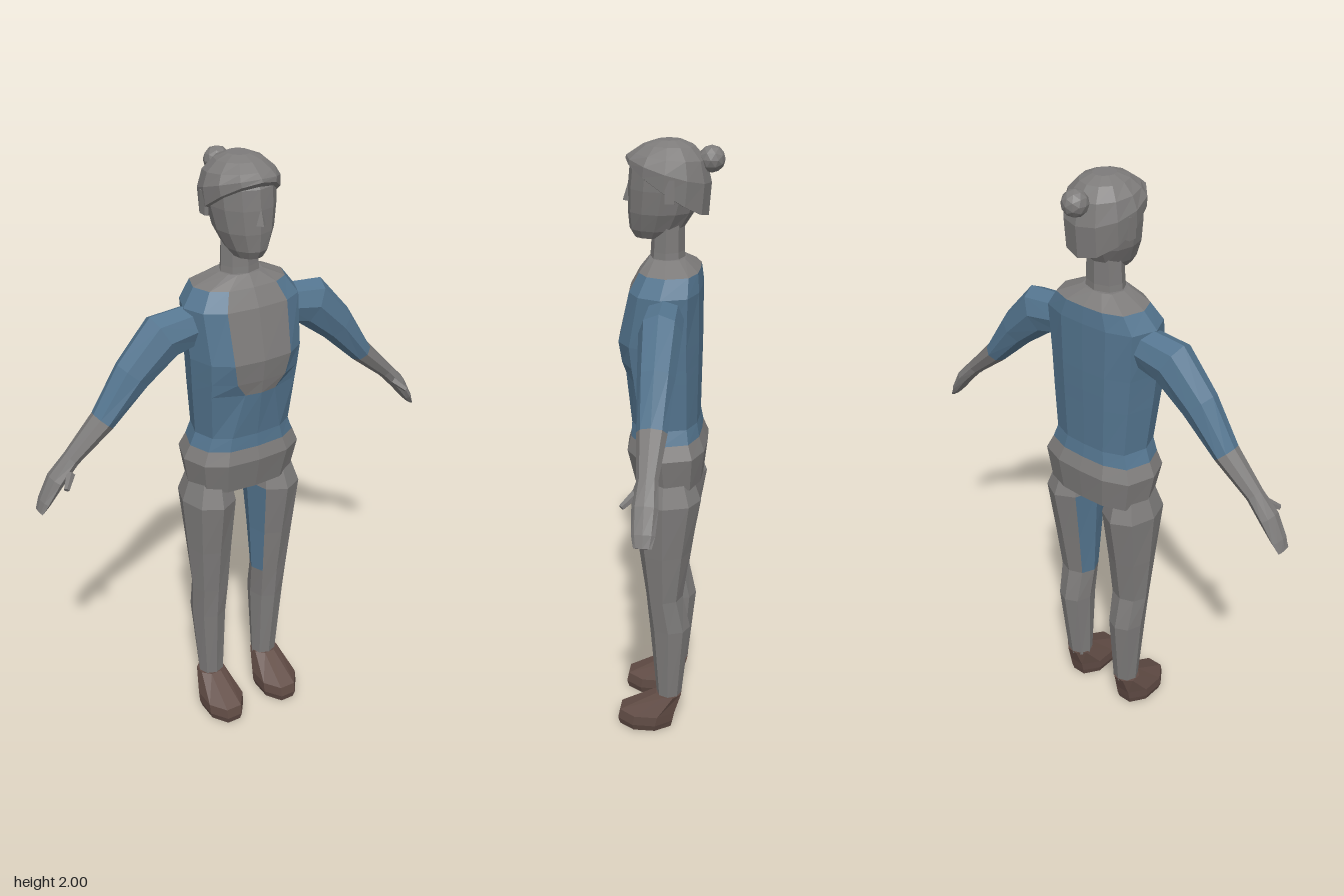
import * as THREE from 'three';

const mat = (name, color) => Object.assign(new THREE.MeshStandardMaterial({ color, flatShading: true, side: THREE.DoubleSide }), { name });

// Closed skin over rings of points; pick(row, column) gives the material index
function loft(name, rings, mats, pick = () => 0) {
  const buckets = mats.map(() => []);
  const n = rings[0].length;
  const tri = (m, ...pts) => pts.forEach((p) => buckets[m].push(p.x, p.y, p.z));
  const centre = (r) => r.reduce((s, p) => s.add(p), new THREE.Vector3()).divideScalar(n);
  for (let i = 0; i < rings.length - 1; i++) {
    for (let j = 0; j < n; j++) {
      const k = (j + 1) % n, m = pick(i, j);
      const a = rings[i][j], b = rings[i][k], c = rings[i + 1][k], d = rings[i + 1][j];
      tri(m, a, b, c);
      tri(m, a, c, d);
    }
  }
  const last = rings.length - 1, c0 = centre(rings[0]), c1 = centre(rings[last]);
  for (let j = 0; j < n; j++) {
    const k = (j + 1) % n;
    tri(pick(0, j), c0, rings[0][k], rings[0][j]);
    tri(pick(last - 1, j), c1, rings[last][j], rings[last][k]);
  }
  const geo = new THREE.BufferGeometry();
  geo.setAttribute('position', new THREE.Float32BufferAttribute(buckets.flat(), 3));
  let start = 0;
  buckets.forEach((b, m) => { geo.addGroup(start, b.length / 3, m); start += b.length / 3; });
  geo.computeVertexNormals();
  const mesh = new THREE.Mesh(geo, mats);
  mesh.name = name;
  return mesh;
}

// Level ring from half-width and front/back depth; tilt lifts the front
function ring(y, rx, front, back, { x = 0, sides = 8, tilt = 0, turn = 0 } = {}) {
  const cz = (front + back) / 2, rz = (front - back) / 2;
  return Array.from({ length: sides }, (_, j) => {
    const a = ((j + turn) / sides) * Math.PI * 2, z = cz + rz * Math.cos(a);
    return new THREE.Vector3(x + rx * Math.sin(a), y + tilt * z, z);
  });
}

// Torso ring with flatter front and back; bib is the width of the front panel
function torsoRing([y, rx, front, back, bib = 0.53]) {
  const half = [[0, 1], [bib, 0.93], [0.85, 0.62], [1, 0], [0.85, -0.72], [0.45, -0.97], [0, -1]];
  const all = [...half, ...half.slice(1, 6).reverse().map(([x, z]) => [-x, z])];
  const cz = (front + back) / 2, rz = (front - back) / 2;
  return all.map(([fx, fz]) => new THREE.Vector3(fx * rx, y, cz + fz * rz));
}

export function createModel() {
  const grey = mat('grey', 0x7d7b7a), blue = mat('blue', 0x54758f), brown = mat('brown', 0x614c45);
  const model = new THREE.Group();

  // Torso: grey hips, blue jumper, grey front panel and collar
  const torso = [
    [0.905, 0.06, 0.07, -0.08], [0.93, 0.185, 0.105, -0.115], [1.04, 0.205, 0.13, -0.128],
    [1.085, 0.183, 0.118, -0.11], [1.13, 0.165, 0.115, -0.102], [1.285, 0.178, 0.138, -0.105, 0.3],
    [1.33, 0.181, 0.146, -0.106, 0.47], [1.4, 0.186, 0.155, -0.107], [1.56, 0.196, 0.118, -0.106],
    [1.615, 0.155, 0.088, -0.1], [1.65, 0.07, 0.06, -0.055],
  ].map(torsoRing);
  model.add(loft('torso', torso, [grey, blue], (i, j) =>
    (i < 3 || i > 8 || (i > 4 && (j === 0 || j === 11)) ? 0 : 1)));

  // Neck and head
  model.add(loft('neck', [ring(1.62, 0.07, 0.06, -0.055), ring(1.67, 0.064, 0.055, -0.05), ring(1.76, 0.06, 0.05, -0.05)], [grey]));
  const o = { sides: 12 };
  model.add(loft('head', [
    ring(1.71, 0.045, 0.105, -0.01, o), ring(1.735, 0.063, 0.12, -0.045, o), ring(1.79, 0.088, 0.125, -0.08, o),
    ring(1.86, 0.101, 0.124, -0.105, o), ring(1.92, 0.104, 0.118, -0.11, o), ring(1.97, 0.08, 0.08, -0.08, o),
  ], [grey]));
  const nose = new THREE.Mesh(new THREE.ConeGeometry(0.016, 0.05, 4), grey);
  nose.name = 'nose';
  nose.position.set(0, 1.843, 0.124);
  model.add(nose);

  // Hair: tilted cap, side locks and bun
  const t = (tilt) => ({ sides: 12, tilt });
  model.add(loft('hair', [
    ring(1.853, 0.1, 0.118, -0.11, t(0.66)), ring(1.858, 0.115, 0.13, -0.122, t(0.66)),
    ring(1.915, 0.119, 0.127, -0.13, t(0.3)), ring(1.955, 0.104, 0.108, -0.115, t(0.1)),
    ring(1.985, 0.072, 0.075, -0.08, t(0.03)), ring(2.0, 0.035, 0.035, -0.04, t(0)),
  ], [grey]));
  const bun = new THREE.Mesh(new THREE.IcosahedronGeometry(0.041, 1), grey);
  bun.name = 'bun';
  bun.position.set(0, 1.945, -0.129);
  model.add(bun);

  for (const s of [1, -1]) {
    const lock = new THREE.Mesh(new THREE.BoxGeometry(0.014, 0.07, 0.028), grey);
    lock.name = 'sideLock';
    lock.position.set(s * 0.108, 1.865, -0.015);
    model.add(lock);

    // Leg with a blue strip on the upper inner side
    const leg = [
      [0.97, 0.115, 0.065, 0.08, -0.085], [0.88, 0.122, 0.09, 0.113, -0.118], [0.69, 0.12, 0.077, 0.085, -0.085],
      [0.52, 0.117, 0.066, 0.063, -0.06], [0.4, 0.117, 0.06, 0.052, -0.085], [0.12, 0.11, 0.045, 0.03, -0.055],
    ].reverse().map(([y, x, rx, f, b]) => ring(y, rx, f, b, { x: s * x }));
    const inner = s > 0 ? [5, 6] : [1, 2];
    model.add(loft('leg', leg, [grey, blue], (i, j) => (i > 1 && i < 4 && inner.includes(j) ? 1 : 0)));

    // Shoe
    const f = { x: s * 0.113, turn: 0.5 };
    model.add(loft('shoe', [
      ring(0, 0.064, 0.165, -0.028, f), ring(0.025, 0.073, 0.172, -0.035, f), ring(0.06, 0.073, 0.165, -0.042, f),
      ring(0.13, 0.049, 0.035, -0.06, f),
    ], [brown]));

    // Arm: blue sleeve, bare forearm and flattened hand
    const path = [
      [0.15, 1.5, 0.065, 0.06], [0.265, 1.482, 0.08, 0.065], [0.37, 1.382, 0.062, 0.056], [0.475, 1.255, 0.038, 0.045],
      [0.585, 1.155, 0.026, 0.031], [0.64, 1.098, 0.026, 0.038], [0.682, 1.035, 0.016, 0.034], [0.701, 1.004, 0.006, 0.026],
    ];
    const arm = path.map(([x, y, r, rz], i) => {
      const a = path[Math.max(i - 1, 0)], b = path[Math.min(i + 1, path.length - 1)];
      const dir = new THREE.Vector2(b[0] - a[0], b[1] - a[1]).normalize();
      const pts = Array.from({ length: 8 }, (_, j) => {
        const q = (j / 8) * Math.PI * 2, u = r * Math.sin(q);
        return new THREE.Vector3(s * (x + u * dir.y), y - u * dir.x, -0.004 + rz * Math.cos(q));
      });
      return s > 0 ? pts : pts.reverse();
    });
    model.add(loft('arm', arm, [grey, blue], (i) => (i < 3 ? 1 : 0)));

    // Thumb
    const thumb = new THREE.Mesh(new THREE.CylinderGeometry(0.014, 0.009, 0.055, 5), grey);
    thumb.name = 'thumb';
    thumb.position.set(s * 0.618, 1.108, 0.045);
    thumb.rotation.set(-0.9, 0, s * 0.6);
    model.add(thumb);
  }
  return model;
}
